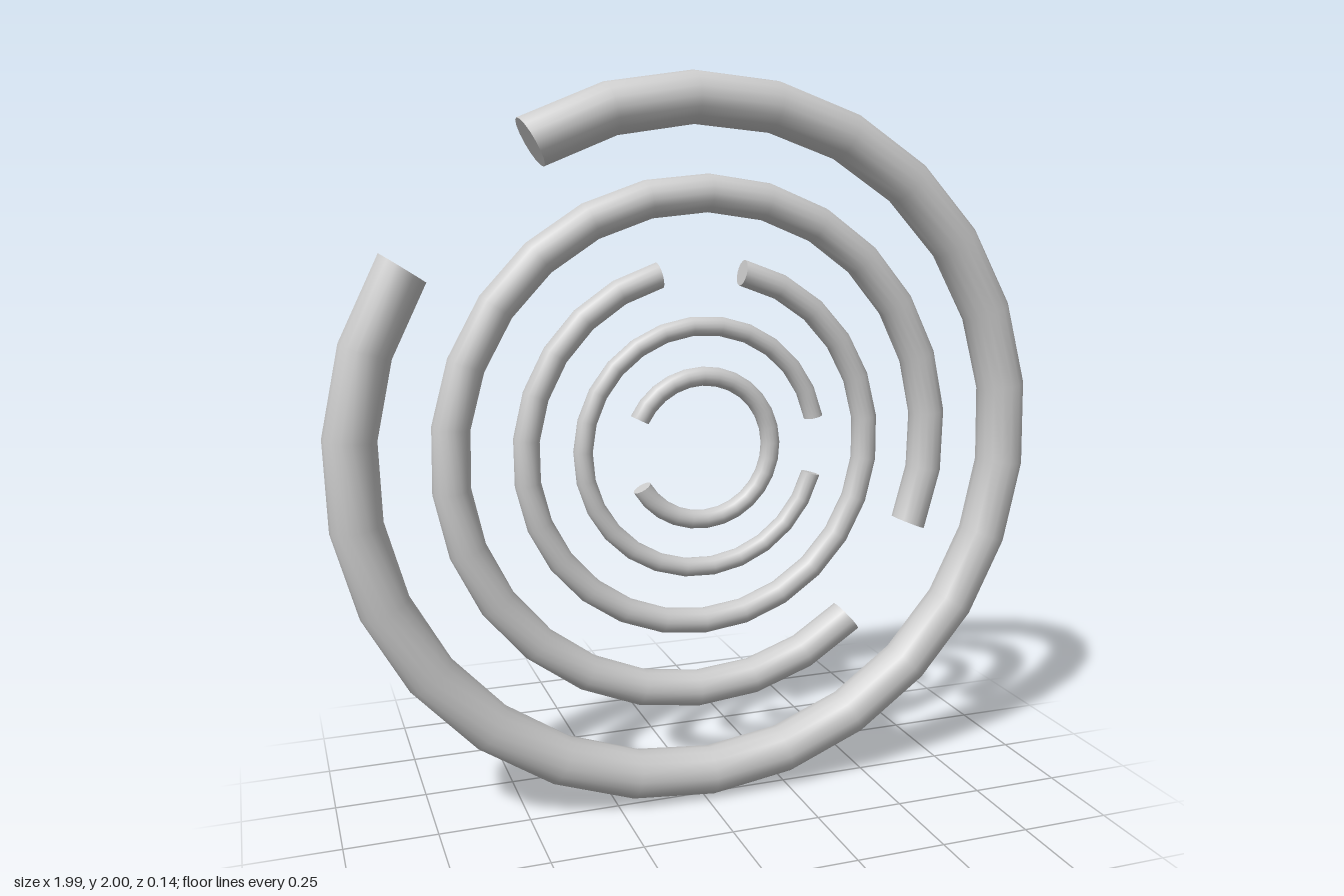
import * as THREE from 'three';

const SIDES = 16;
const STEPS = 24;

// Open ring of round tube with flat end caps; start and sweep in degrees, counterclockwise
function openRing(name, R, r, y, start, sweep, material) {
  const ring = new THREE.Group();
  ring.name = name;
  const arc = THREE.MathUtils.degToRad(sweep);

  const tube = new THREE.Mesh(new THREE.TorusGeometry(R, r, SIDES, STEPS, arc), material);
  tube.name = name + 'Tube';
  ring.add(tube);

  // End caps face away from the tube along its tangent
  for (const [label, angle, tilt] of [['StartCap', 0, Math.PI / 2], ['EndCap', arc, -Math.PI / 2]]) {
    const disc = new THREE.CircleGeometry(r, SIDES);
    disc.rotateX(tilt).translate(R, 0, 0).rotateZ(angle);
    const cap = new THREE.Mesh(disc, material);
    cap.name = name + label;
    ring.add(cap);
  }

  ring.position.y = y;
  ring.rotation.z = THREE.MathUtils.degToRad(start);
  return ring;
}

export function createModel() {
  const model = new THREE.Group();
  model.name = 'concentricRings';
  const grey = new THREE.MeshStandardMaterial({ color: 0xcccccc });

  // name, ring radius, tube radius, centre height, start angle, sweep
  const rings = [
    ['outerRing', 0.932, 0.068, 1.0, 146.9, 332.3],
    ['secondRing', 0.684, 0.05, 1.005, -22.1, 332.3],
    ['middleRing', 0.487, 0.035, 1.005, 104.3, 332.3],
    ['fourthRing', 0.334, 0.026, 1.007, 12, 332.3],
    ['innerRing', 0.198, 0.026, 1.007, 209.5, 304],
  ];
  for (const spec of rings) model.add(openRing(...spec, grey));
  return model;
}
